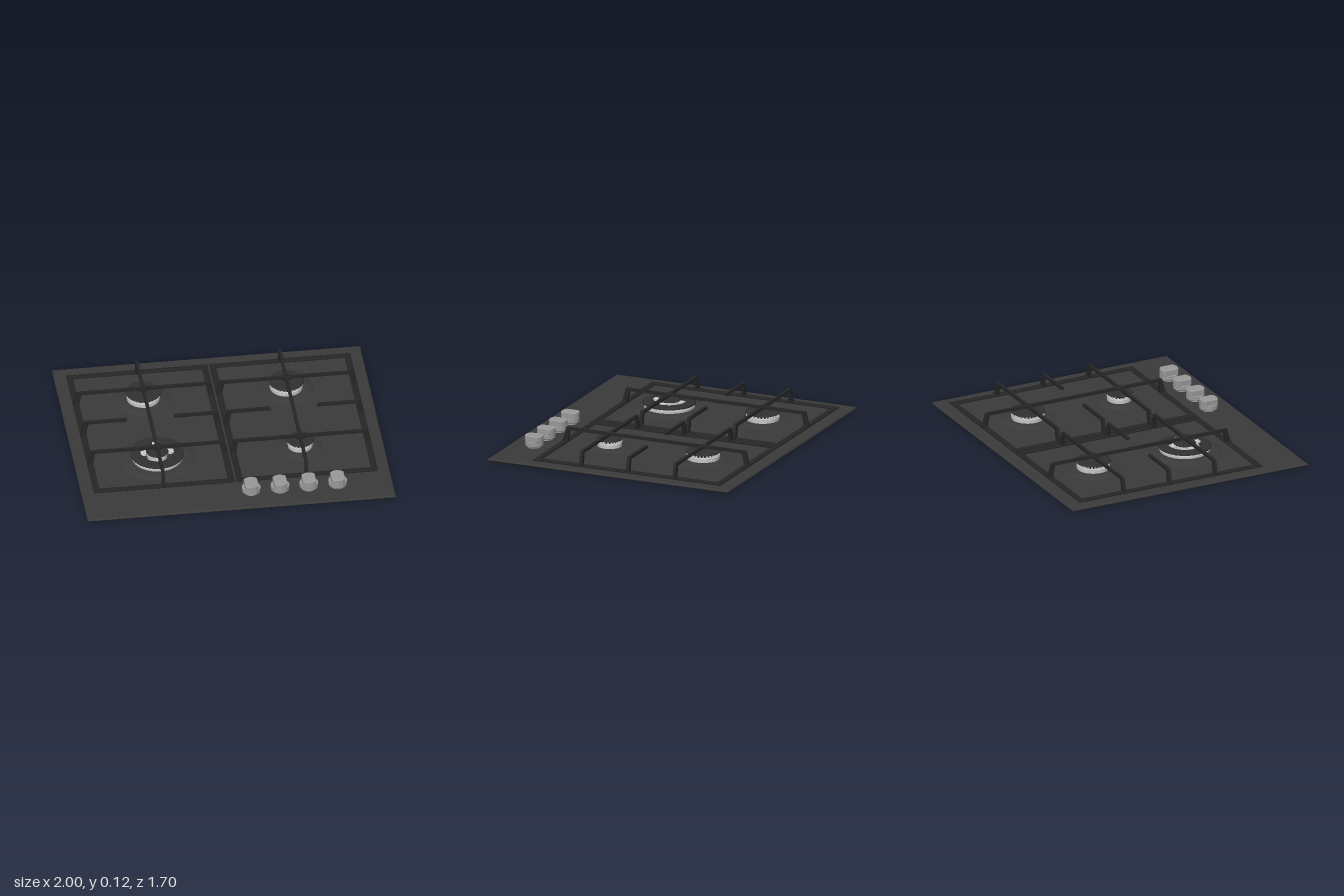
import * as THREE from 'three';
import { mergeGeometries } from 'three/addons/utils/BufferGeometryUtils.js';

const mat = (color) => new THREE.MeshStandardMaterial({ color, side: THREE.DoubleSide });
const plateMat = mat(0x3a3a3a), ironMat = mat(0x262626), capMat = mat(0x303030);
const silverMat = mat(0xcccccc), knobMat = mat(0x999999);

function add(parent, name, geometry, material, x = 0, y = 0, z = 0) {
  const mesh = new THREE.Mesh(geometry, material);
  mesh.name = name;
  mesh.position.set(x, y, z);
  parent.add(mesh);
  return mesh;
}

const polygon = (points) => new THREE.Shape(points.map(([x, y]) => new THREE.Vector2(x, y)));

// Sharp-edged turned part: every profile segment gets its own band
function turned(points, segments = 48) {
  const bands = [];
  for (let i = 0; i < points.length - 1; i++) {
    bands.push(new THREE.LatheGeometry(
      [points[i], points[i + 1]].map(([r, y]) => new THREE.Vector2(r, y)), segments));
  }
  return mergeGeometries(bands);
}

// Flat outline in x/z, raised by height, with an optional chamfer
function slab(shape, height, bevel = 0) {
  const g = new THREE.ExtrudeGeometry(shape, {
    depth: height - 2 * bevel, bevelEnabled: bevel > 0, bevelSize: bevel,
    bevelThickness: bevel, bevelOffset: -bevel, bevelSegments: 1, curveSegments: 24,
  });
  g.translate(0, 0, bevel);
  return g.rotateX(-Math.PI / 2);
}

const rect = (w, d) => polygon([[-w / 2, -d / 2], [w / 2, -d / 2], [w / 2, d / 2], [-w / 2, d / 2]]);

// Bar standing on sloping legs; a finger has only the first leg
function barGeometry(length, finger) {
  const top = 0.122, under = 0.104, foot = 0.022, h = length / 2;
  const left = [[-h, foot], [-h + 0.038, foot], [-h + 0.052, under]];
  const right = finger
    ? [[h, under], [h, top]]
    : [[h - 0.052, under], [h - 0.038, foot], [h, foot], [h - 0.028, top]];
  const g = new THREE.ExtrudeGeometry(polygon([...left, ...right, [-h + 0.028, top]]),
    { depth: 0.02, bevelEnabled: false });
  return g.translate(0, 0, -0.01);
}

// One cast grate: base frame, two cross bars, one long bar, two fingers
function makeGrate(name, cx, burnerX) {
  const grate = new THREE.Group();
  grate.name = name;
  const w = 0.915, d = 1.32, cz = -0.1;
  const frame = rect(w, d);
  frame.holes.push(rect(w - 0.08, d - 0.08));
  add(grate, 'grateFrame', slab(frame, 0.014, 0.004), ironMat, cx, 0.018, cz);
  const foot = (x, z) => add(grate, 'grateFoot',
    new THREE.BoxGeometry(0.03, 0.016, 0.03), ironMat, x, 0.03, z);
  for (const z of [-0.43, 0.23]) {
    add(grate, 'crossBar', barGeometry(w, false), ironMat, cx, 0, z);
    // Hollow-sided star where the bars meet above a burner
    const r = 0.05, n = 0.01, star = new THREE.Shape();
    star.moveTo(r, -n).lineTo(r, n).quadraticCurveTo(n, n, n, r)
      .lineTo(-n, r).quadraticCurveTo(-n, n, -r, n)
      .lineTo(-r, -n).quadraticCurveTo(-n, -n, -n, -r)
      .lineTo(n, -r).quadraticCurveTo(n, -n, r, -n);
    add(grate, 'barJoint', slab(star, 0.016), ironMat, burnerX, 0.105, z);
  }
  add(grate, 'longBar', barGeometry(d, false), ironMat, burnerX, 0, cz).rotation.y = -Math.PI / 2;
  for (const s of [-1, 1]) {
    const finger = add(grate, 'finger', barGeometry(0.305, true), ironMat,
      cx + s * (w / 2 - 0.1525), 0, cz);
    if (s > 0) finger.rotation.y = Math.PI;
    for (const z of [-0.43, -0.1, 0.23]) foot(cx + s * (w / 2 - 0.016), z);
    foot(burnerX, cz + s * (d / 2 - 0.016));
  }
  return grate;
}

// Ring of small teeth separating the flame ports
function teeth(radius, y, height, count) {
  const list = [];
  for (let i = 0; i < count; i++) {
    list.push(new THREE.BoxGeometry(0.014, height, radius * Math.PI / count)
      .translate(radius - 0.007, y + height / 2, 0).rotateY(i * 2 * Math.PI / count));
  }
  return mergeGeometries(list);
}

// Raised dish pressed around a burner
const dish = (r) => turned([[r, 0.018], [r - 0.015, 0.026], [r - 0.045, 0.034], [0, 0.036]]);

function makeBurner(name, x, z, r, dishR) {
  const burner = new THREE.Group();
  burner.name = name;
  burner.position.set(x, 0, z);
  add(burner, 'burnerDish', dish(dishR), plateMat);
  add(burner, 'burnerBody', turned([[r - 0.004, 0.034], [r - 0.002, 0.06], [r - 0.014, 0.064], [0, 0.064]]), silverMat);
  add(burner, 'burnerCore', turned([[r - 0.015, 0.06], [r - 0.015, 0.082]]), ironMat);
  add(burner, 'flamePorts', teeth(r - 0.002, 0.062, 0.018, Math.round(r * 260)), silverMat);
  add(burner, 'burnerCap', turned([[0, 0.079], [r, 0.079], [r + 0.004, 0.083],
    [r, 0.09], [r - 0.012, 0.093], [0, 0.093]]), capMat);
  return burner;
}

function makeDoubleBurner(name, x, z) {
  const burner = new THREE.Group();
  burner.name = name;
  burner.position.set(x, 0, z);
  add(burner, 'burnerDish', dish(0.245), plateMat);
  add(burner, 'outerBody', turned([[0.163, 0.034], [0.165, 0.05], [0.15, 0.053],
    [0.108, 0.053], [0.104, 0.034]]), silverMat);
  add(burner, 'outerCore', turned([[0.15, 0.05], [0.15, 0.062]]), ironMat);
  add(burner, 'outerPorts', teeth(0.165, 0.052, 0.009, 44), silverMat);
  add(burner, 'ringCap', turned([[0.1, 0.05], [0.1, 0.07], [0.108, 0.075], [0.16, 0.075],
    [0.171, 0.068], [0.171, 0.06], [0.1, 0.06]]), capMat);
  add(burner, 'innerBody', turned([[0.064, 0.034], [0.066, 0.066], [0, 0.068]]), silverMat);
  add(burner, 'innerPorts', teeth(0.067, 0.064, 0.014, 18), silverMat);
  add(burner, 'innerCap', turned([[0, 0.077], [0.07, 0.077], [0.072, 0.081],
    [0.066, 0.089], [0.06, 0.091], [0, 0.091]]), capMat);
  // Four bridges between the inner burner and the ring
  for (let i = 0; i < 4; i++) {
    add(burner, 'bridge', new THREE.BoxGeometry(0.035, 0.014, 0.04)
      .translate(0.089, 0.071, 0).rotateY(i * Math.PI / 2), silverMat);
  }
  return burner;
}

function makeKnob(x) {
  const knob = new THREE.Group();
  knob.name = 'knob';
  knob.position.set(x, 0, 0.68);
  add(knob, 'knobStem', turned([[0.045, 0.018], [0.045, 0.034]], 32), knobMat);
  add(knob, 'knobSkirt', turned([[0, 0.03], [0.055, 0.03], [0.06, 0.035], [0.06, 0.062], [0, 0.065]], 40), knobMat);
  // Grip: a round outline with both sides cut flat
  const a = Math.acos(0.043 / 0.06), grip = new THREE.Shape();
  grip.absarc(0, 0, 0.06, a, Math.PI - a, false);
  grip.absarc(0, 0, 0.06, Math.PI + a, 2 * Math.PI - a, false);
  grip.closePath();
  add(knob, 'knobGrip', slab(grip, 0.04, 0.004), knobMat, 0, 0.06, 0);
  return knob;
}

export function createModel() {
  const hob = new THREE.Group();
  hob.name = 'gasHob';

  // Thin top plate with chamfered rim
  add(hob, 'topPlate', slab(rect(2, 1.695), 0.02, 0.008), plateMat);

  hob.add(
    makeGrate('rightGrate', -0.4625, -0.465),
    makeGrate('leftGrate', 0.465, 0.462),
    makeBurner('rightRearBurner', -0.465, -0.43, 0.11, 0.18),
    makeBurner('leftRearBurner', 0.462, -0.43, 0.11, 0.18),
    makeBurner('leftFrontBurner', 0.462, 0.23, 0.083, 0.147),
    makeDoubleBurner('rightFrontBurner', -0.465, 0.23),
  );

  for (let i = 0; i < 4; i++) hob.add(makeKnob(0.083 + i * 0.187));
  return hob;
}
